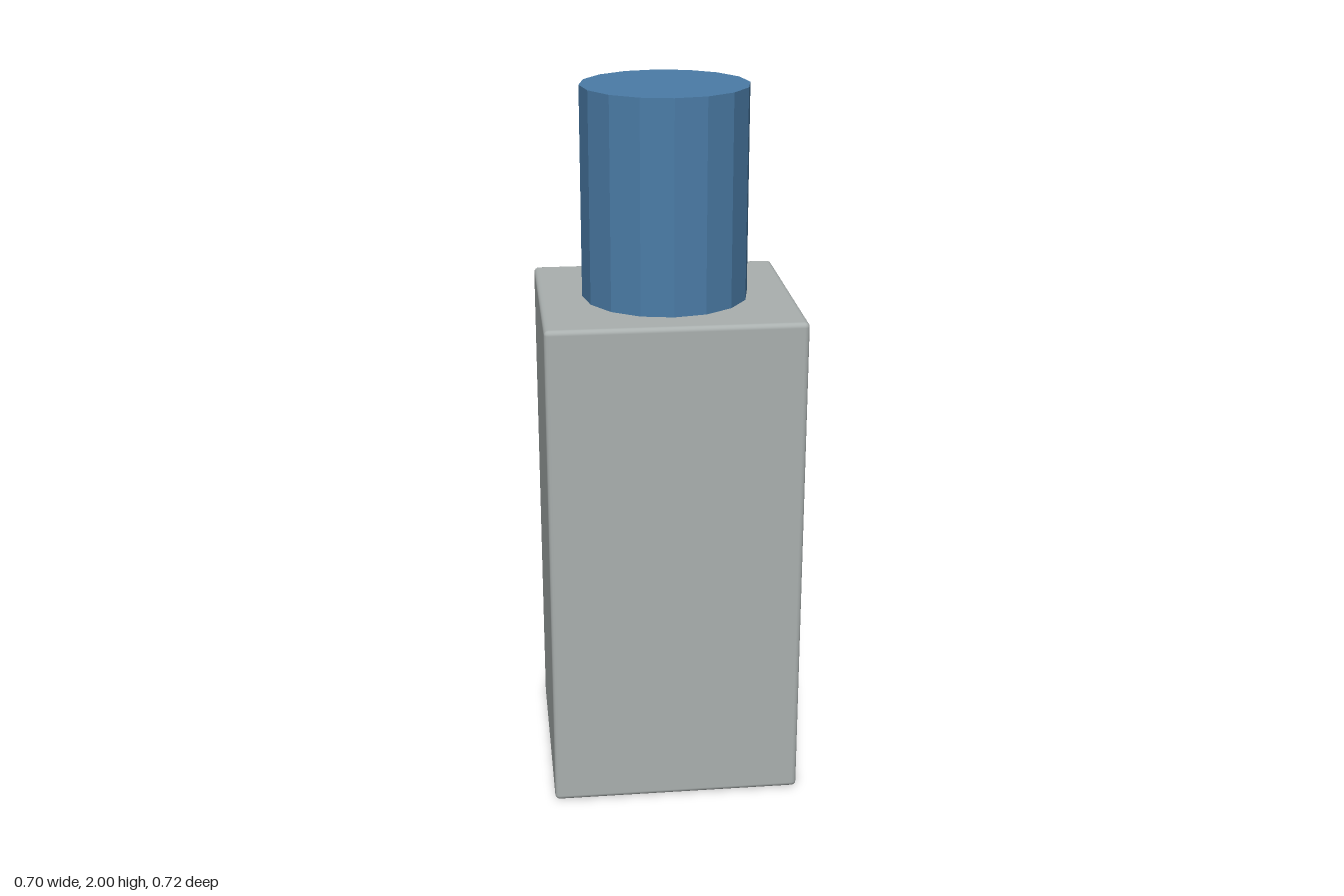
import * as THREE from 'three';
import { RoundedBoxGeometry } from 'three/addons/geometries/RoundedBoxGeometry.js';

export function createModel() {
  const model = new THREE.Group();
  const grey = new THREE.MeshStandardMaterial({ color: 0xaab0af });
  grey.name = 'pale grey';
  const blue = new THREE.MeshStandardMaterial({ color: 0x4b7ca7 });
  blue.name = 'steel blue';
  blue.flatShading = true;

  const add = (name, geometry, material, x, y, z) => {
    const mesh = new THREE.Mesh(geometry, material);
    mesh.name = name;
    mesh.position.set(x, y, z);
    model.add(mesh);
  };

  // Tall case with narrow softened edges
  add('body', new RoundedBoxGeometry(0.704, 1.418, 0.642, 2, 0.014), grey, 0, 0.709, 0.038);

  // Small block on the back, its root sunk into the case
  add('backBlock', new RoundedBoxGeometry(0.254, 0.124, 0.097, 2, 0.012), grey, 0, 1.033, -0.3115);

  // Sixteen-sided cap standing on the case
  add('cap', new THREE.CylinderGeometry(0.231, 0.231, 0.585, 16), blue, 0, 1.7075, 0.038);

  return model;
}
